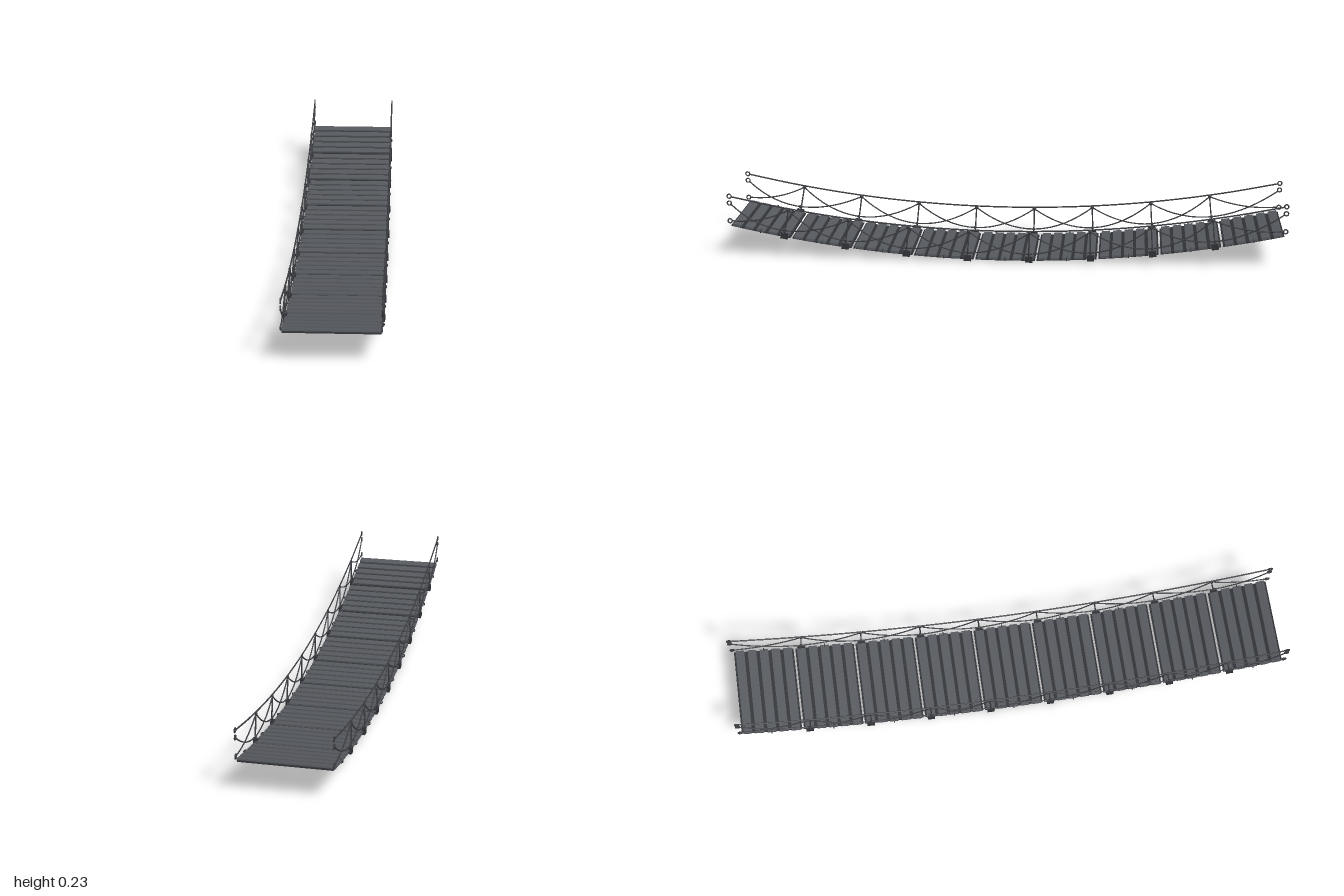
import * as THREE from 'three';

const deckY = z => 0.0105 + 0.112 * z * z;
const railY = z => 0.115 + 0.112 * z * z;
const tilt = z => -Math.atan(0.224 * z);
const V = (x, y, z) => new THREE.Vector3(x, y, z);

export function createModel() {
  const model = new THREE.Group();
  model.name = 'ropeBridge';
  const make = (name, color) => {
    const m = new THREE.MeshStandardMaterial({ color });
    m.name = name;
    return m;
  };
  const wood = make('greyPlank', 0x55585d);
  const dark = make('darkUnderside', 0x303236);
  const ropeMat = make('rope', 0x3c3e42);

  const add = (parent, name, geo, mat, pos, rx = 0) => {
    const mesh = new THREE.Mesh(geo, mat);
    mesh.name = name;
    if (pos) mesh.position.copy(pos);
    mesh.rotation.x = rx;
    parent.add(mesh);
    return mesh;
  };
  const rope = (parent, name, curve, segs, r = 0.0027) =>
    add(parent, name, new THREE.TubeGeometry(curve, segs, r, 6), ropeMat);
  // Hanging rope passing through its middle point
  const swag = (parent, a, m, b) => {
    const c = m.clone().multiplyScalar(2).sub(a.clone().add(b).multiplyScalar(0.5));
    rope(parent, 'swagRope', new THREE.QuadraticBezierCurve3(a, c, b), 16, 0.0024);
  };

  // Deck: nine sections of five planks over thin dark backing boards
  const deck = new THREE.Group();
  deck.name = 'deck';
  model.add(deck);
  const plankGeo = new THREE.BoxGeometry(0.318, 0.008, 0.031);
  const backGeo = new THREE.BoxGeometry(0.312, 0.005, 0.0435);
  for (let s = 0; s < 9; s++) {
    for (let i = 0; i < 5; i++) {
      const z = (s - 4) * 0.22 + (i - 2) * 0.0425;
      add(deck, 'plank', plankGeo, wood, V(0, deckY(z) + 0.001, z), tilt(z));
      add(deck, 'backingBoard', backGeo, dark, V(0, deckY(z) - 0.003, z), tilt(z));
    }
  }

  const ringGeo = new THREE.TorusGeometry(0.0075, 0.0025, 6, 14);
  const knotGeo = new THREE.SphereGeometry(0.007, 8, 6);
  const clampGeo = new THREE.BoxGeometry(0.012, 0.02, 0.026);
  const loopGeo = new THREE.TorusGeometry(0.0065, 0.002, 6, 12);

  for (const side of [-1, 1]) {
    const x = 0.159 * side;
    const g = new THREE.Group();
    g.name = side > 0 ? 'leftRailing' : 'rightRailing';
    model.add(g);

    // Handrail rope
    const pts = [];
    for (let i = 0; i <= 12; i++) {
      const z = -0.983 + i * 1.966 / 12;
      pts.push(V(x, railY(z), z));
    }
    rope(g, 'handrailRope', new THREE.CatmullRomCurve3(pts), 48);

    // Upright ropes with knots and deck clamps
    const tops = [], bottoms = [];
    for (let k = 0; k < 8; k++) {
      const zt = -0.735 + 0.216 * k, zb = -0.745 + 0.22 * k;
      const top = V(x, railY(zt) - 0.006, zt);
      const foot = V(0.162 * side, deckY(zb), zb);
      tops.push(top);
      bottoms.push(V(x, deckY(zb) + 0.02, zb));
      rope(g, 'uprightRope', new THREE.LineCurve3(foot, top), 1);
      add(g, 'topKnot', knotGeo, ropeMat, top).scale.set(0.65, 1.2, 1);
      add(g, 'lowKnot', knotGeo, ropeMat, bottoms[k]).scale.set(0.6, 0.8, 0.8);
      add(g, 'deckClamp', clampGeo, dark, V(0.159 * side, deckY(zb), zb), tilt(zb));
    }

    // Loops tying the middle plank of each section
    for (let s = -4; s <= 4; s++) {
      const z = s * 0.22;
      add(g, 'plankLoop', loopGeo, ropeMat, V(0.157 * side, deckY(z) + 0.001, z), tilt(z));
    }

    // Three end rings at each end
    for (const end of [-1, 1]) {
      for (const y of [0.225, 0.2, 0.134]) {
        add(g, 'endRing', ringGeo, ropeMat, V(x, y, 0.99 * end)).rotation.y = Math.PI / 2;
      }
    }

    // Overlapping swags, each spanning two bays
    for (let k = 0; k < 6; k++) swag(g, tops[k], bottoms[k + 1], tops[k + 2]);
    for (const end of [-1, 1]) {
      const first = end < 0 ? 0 : 7, second = end < 0 ? 1 : 6;
      const upper = V(x, 0.195, 0.984 * end), lower = V(x, 0.134, 0.982 * end);
      swag(g, upper, bottoms[first], tops[second]);
      const mid = lower.clone().add(tops[first]).multiplyScalar(0.5);
      mid.y -= 0.015;
      swag(g, lower, mid, tops[first]);
    }
  }
  return model;
}
